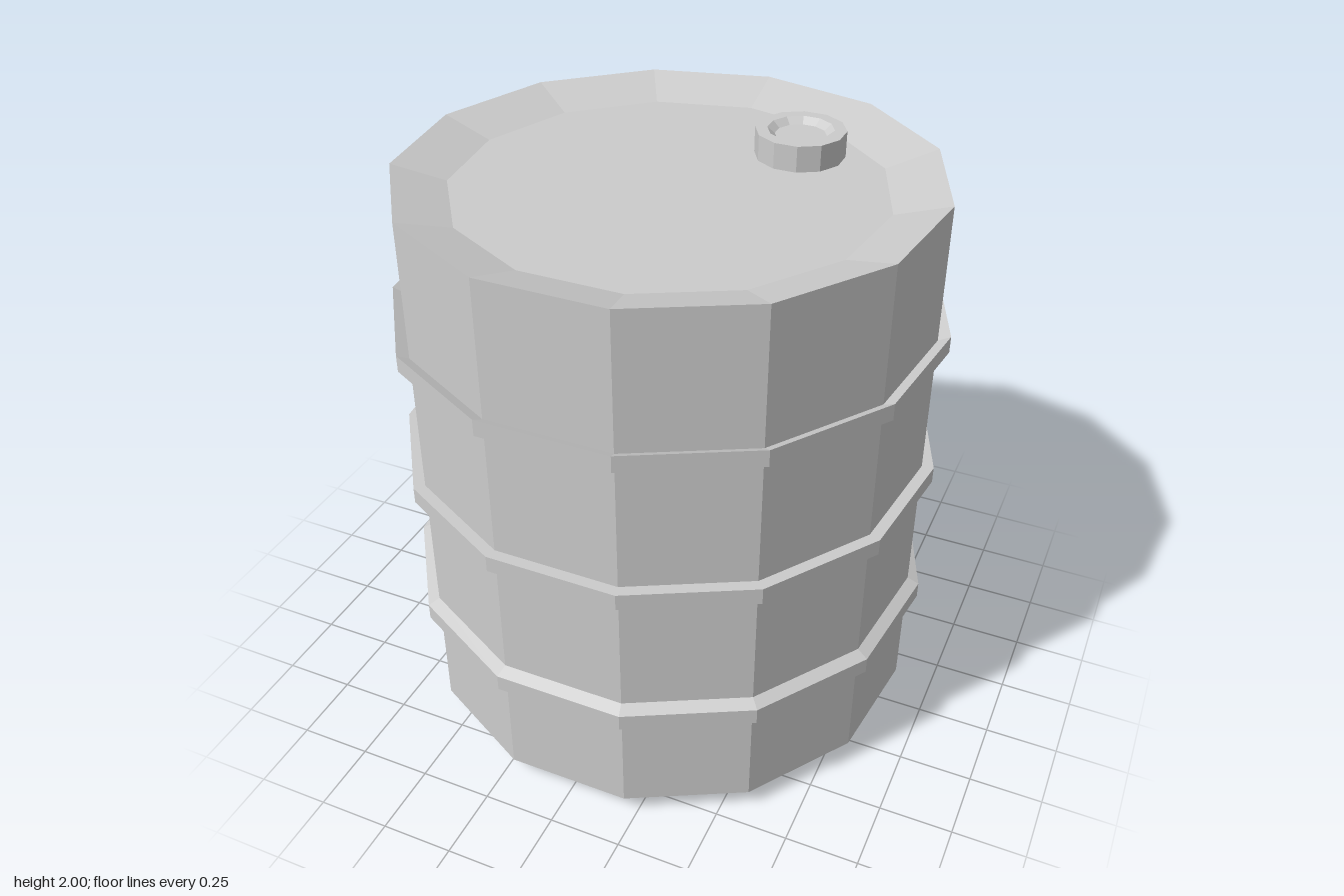
import * as THREE from 'three';

const SIDES = 13;
const R = 0.883;      // body circumradius
const RING_R = 0.923; // hoop circumradius

export function createModel() {
  const barrel = new THREE.Group();
  barrel.name = 'barrel';
  const material = new THREE.MeshStandardMaterial({ color: 0xcccccc, flatShading: true });

  // Faceted solid of revolution; profile runs from bottom to top as [radius, y]
  const turned = (name, profile, sides, start) => {
    const points = profile.map(([r, y]) => new THREE.Vector2(r, y));
    const mesh = new THREE.Mesh(new THREE.LatheGeometry(points, sides, start), material);
    mesh.name = name;
    barrel.add(mesh);
    return mesh;
  };

  // Body with bevelled base and dished lid, one corner pointing to the back
  turned('body', [
    [0, 0], [0.815, 0], [R, 0.07], [R, 1.965], [0.705, 1.912], [0, 1.912],
  ], SIDES, Math.PI);

  // Hoops: the lower one flares down, the upper one flares up
  const hoops = [
    ['lowerHoop', 0.465, -0.02],
    ['middleHoop', 0.955, 0],
    ['upperHoop', 1.445, 0.02],
  ];
  for (const [name, y, flare] of hoops) {
    turned(name, [
      [R, y], [RING_R, y + flare], [RING_R, y + flare + 0.057], [R, y + 0.057],
    ], SIDES, Math.PI);
  }

  // Filler cap with a shallow recess
  const cap = turned('fillerCap', [
    [0.15, 1.905], [0.15, 2], [0.11, 2], [0.085, 1.98], [0, 1.98],
  ], 12, Math.PI / 12);
  cap.position.set(0.29, 0, -0.398);

  // An odd number of sides sits slightly off centre front to back
  barrel.children.forEach((part) => { part.position.z += 0.0134; });
  return barrel;
}
